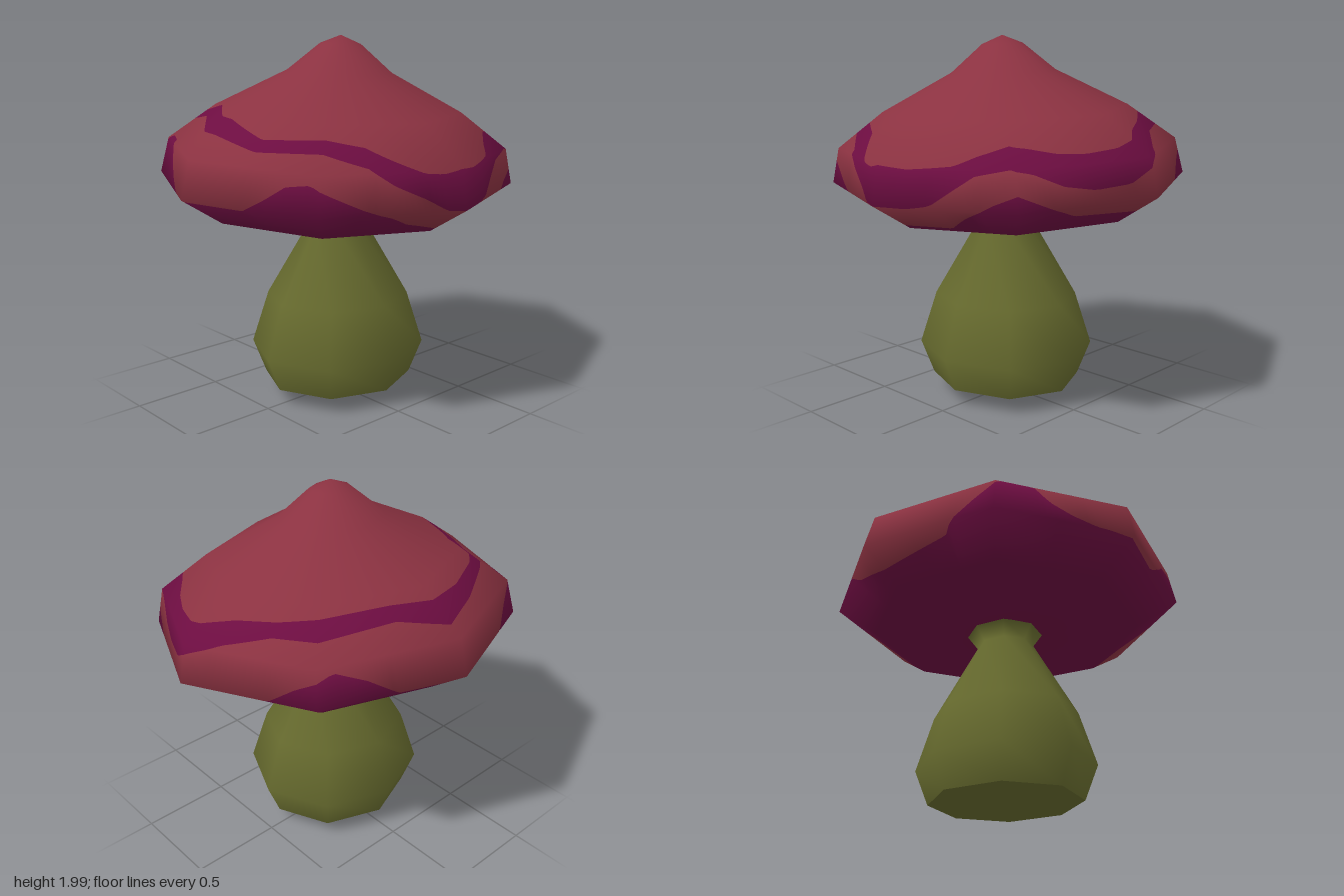
import * as THREE from 'three';

const SIDES = 8, COLUMNS = 192, SQUASH = 0.93, PIVOT = 1.22;

// Cap profile from tip to underside: [radius, height]
const CAP = [[0, 1.99], [0.113, 1.945], [0.29, 1.80], [0.69, 1.60],
  [0.955, 1.41], [1, 1.22], [0.76, 1.07], [0, 1.03]];

// Wavy stripe: [angle from the front, upper height, lower height]
const STRIPE = [[0, 1.59, 1.52], [20, 1.52, 1.47], [45, 1.545, 1.49], [60, 1.51, 1.43],
  [68, 1.46, 1.35], [78, 1.40, 1.28], [84, 1.395, 1.225], [90, 1.415, 1.22],
  [100, 1.40, 1.215], [108, 1.41, 1.235], [115, 1.42, 1.31], [122, 1.46, 1.38],
  [133, 1.505, 1.415], [140, 1.49, 1.39], [150, 1.46, 1.32], [160, 1.45, 1.29],
  [172, 1.46, 1.30], [181, 1.49, 1.37], [192, 1.515, 1.43], [208, 1.53, 1.48],
  [225, 1.56, 1.49], [253, 1.56, 1.505], [270, 1.55, 1.46], [290, 1.53, 1.47],
  [310, 1.545, 1.505], [325, 1.61, 1.55], [344, 1.58, 1.505], [360, 1.59, 1.52]];

// Upper edge of the dark underside: [angle, height]
const UNDER = [[0, 1.21], [20, 1.205], [27, 1.27], [34, 1.345], [42, 1.365], [48, 1.32],
  [58, 1.25], [67, 1.20], [75, 1.14], [90, 1.09], [110, 1.09], [118, 1.17], [127, 1.25],
  [135, 1.30], [145, 1.23], [155, 1.16], [180, 1.14], [205, 1.18], [218, 1.30],
  [230, 1.38], [240, 1.31], [252, 1.19], [270, 1.13], [298, 1.18], [308, 1.32],
  [318, 1.43], [327, 1.425], [333, 1.33], [340, 1.27], [348, 1.225], [360, 1.21]];

const lerp = THREE.MathUtils.lerp;

// Linear lookup of one column in a table keyed by angle
function lookup(table, angle, column) {
  let i = 0;
  while (i < table.length - 2 && table[i + 1][0] < angle) i++;
  const a = table[i], b = table[i + 1];
  return lerp(a[column], b[column], (angle - a[0]) / (b[0] - a[0]));
}

// Smooth profile normals [outward, up]
const CAP_NORMALS = CAP.map((p, i) => {
  if (i === 0) return [0, 1];
  if (i === CAP.length - 1) return [0, -1];
  const n = new THREE.Vector2();
  for (const [a, b] of [[CAP[i - 1], p], [p, CAP[i + 1]]]) {
    n.add(new THREE.Vector2(a[1] - b[1], b[0] - a[0]).normalize());
  }
  n.normalize();
  return [n.x, n.y];
});

// Point and normal on the eight-sided cap at an angle and a height
function capPoint(angle, y) {
  let i = 0;
  while (i < CAP.length - 2 && y < CAP[i + 1][1]) i++;
  const t = (CAP[i][1] - y) / (CAP[i][1] - CAP[i + 1][1]);
  const radius = lerp(CAP[i][0], CAP[i + 1][0], t);
  const out = lerp(CAP_NORMALS[i][0], CAP_NORMALS[i + 1][0], t);
  const up = lerp(CAP_NORMALS[i][1], CAP_NORMALS[i + 1][1], t);
  const u = angle / 360 * SIDES, k = Math.floor(u), step = Math.PI * 2 / SIDES;
  const x = lerp(Math.sin(k * step), Math.sin((k + 1) * step), u - k);
  const z = lerp(Math.cos(k * step), Math.cos((k + 1) * step), u - k);
  return {
    position: [x * radius * SQUASH, y - PIVOT, z * radius],
    normal: new THREE.Vector3(x * out / SQUASH, up, z * out).normalize().toArray(),
  };
}

// Strip of cap surface between two height curves
function capBand(name, material, topAt, bottomAt) {
  const positions = [], normals = [], index = [], rows = CAP.length + 2;
  for (let c = 0; c <= COLUMNS; c++) {
    const angle = c / COLUMNS * 360;
    const top = topAt(angle), bottom = Math.min(top, bottomAt(angle));
    const heights = [top, ...CAP.map(p => THREE.MathUtils.clamp(p[1], bottom, top)), bottom];
    heights.forEach((y, r) => {
      const p = capPoint(angle, y);
      positions.push(...p.position);
      normals.push(...p.normal);
      if (c < COLUMNS && r < rows - 1) {
        const a = c * rows + r, d = a + rows;
        index.push(a, a + 1, d + 1, a, d + 1, d);
      }
    });
  }
  const geometry = new THREE.BufferGeometry();
  geometry.setAttribute('position', new THREE.Float32BufferAttribute(positions, 3));
  geometry.setAttribute('normal', new THREE.Float32BufferAttribute(normals, 3));
  geometry.setIndex(index);
  const mesh = new THREE.Mesh(geometry, material);
  mesh.name = name;
  return mesh;
}

function stemPart(name, material, profile) {
  const points = profile.map(([r, y]) => new THREE.Vector2(r, y));
  const mesh = new THREE.Mesh(new THREE.LatheGeometry(points, SIDES), material);
  mesh.name = name;
  return mesh;
}

function flat(name, color) {
  const material = new THREE.MeshStandardMaterial({ color });
  material.name = name;
  return material;
}

export function createModel() {
  const red = flat('capRed', 0x8b3241);
  const purple = flat('capPurple', 0x6d0d41);
  const green = flat('stemGreen', 0x666a2e);

  // Slightly tilted cap, in four coloured bands
  const cap = new THREE.Group();
  cap.name = 'cap';
  cap.position.y = PIVOT;
  cap.rotation.z = -0.05;
  const stripeTop = a => lookup(STRIPE, a, 1);
  const stripeBottom = a => lookup(STRIPE, a, 2);
  const underTop = a => Math.min(lookup(UNDER, a, 1), stripeBottom(a));
  cap.add(
    capBand('capTop', red, () => CAP[0][1], stripeTop),
    capBand('capStripe', purple, stripeTop, stripeBottom),
    capBand('capRim', red, stripeBottom, underTop),
    capBand('capUnderside', purple, underTop, () => CAP[CAP.length - 1][1]),
  );

  // Bulbous stem with a flared neck and a shallow pointed base
  const stem = new THREE.Group();
  stem.name = 'stem';
  stem.position.x = 0.012;
  stem.scale.x = SQUASH;
  stem.add(
    stemPart('stemBody', green, [[0.425, 0.09], [0.5, 0.275], [0.405, 0.565],
      [0.162, 0.97], [0.22, 1.045]]),
    stemPart('stemBase', green, [[0, 0], [0.425, 0.09]]),
  );

  const model = new THREE.Group();
  model.name = 'mushroom';
  model.add(cap, stem);
  return model;
}
